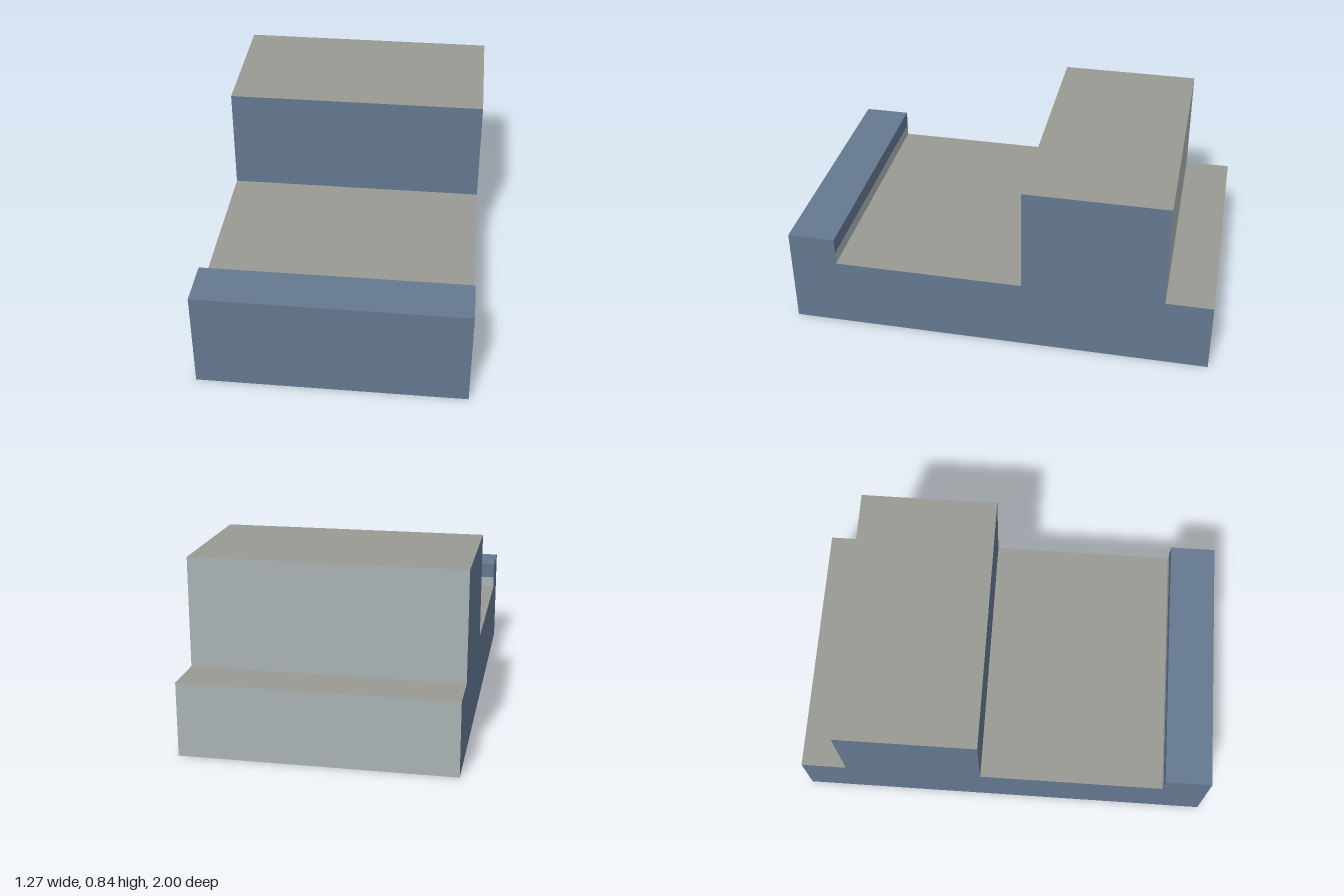
import * as THREE from 'three';

const paint = (name, color) => new THREE.MeshStandardMaterial({ name, color });

export function createModel() {
  const wall = paint('blueWall', 0x647890);
  const roof = paint('greyRoof', 0x999a93);
  const rear = paint('paleRearWall', 0xaab2b4);

  const model = new THREE.Group();
  model.name = 'steppedBuilding';
  const WIDTH = 1.225;

  // Full-width volume between two heights and two depths, coloured by face
  function volume(name, y0, y1, z0, z1, top, back) {
    const geometry = new THREE.BoxGeometry(WIDTH, y1 - y0, z1 - z0);
    const mesh = new THREE.Mesh(geometry, [wall, wall, top, roof, wall, back]);
    mesh.name = name;
    mesh.position.set(0, (y0 + y1) / 2, (z0 + z1) / 2);
    model.add(mesh);
  }

  // Ground floor with flat terrace roof
  volume('groundFloor', 0, 0.337, -0.987, 0.987, roof, rear);
  // Upper storeys, set back from the front
  volume('upperStoreys', 0.337, 0.837, -0.77, -0.115, roof, rear);
  // Raised front, with a pale band low on its rear face
  volume('frontParapetBase', 0.337, 0.395, 0.767, 0.987, wall, rear);
  volume('frontParapetTop', 0.395, 0.47, 0.767, 0.987, wall, wall);

  // The whole building sits slightly turned on its plot
  model.rotation.y = 0.021;
  return model;
}
